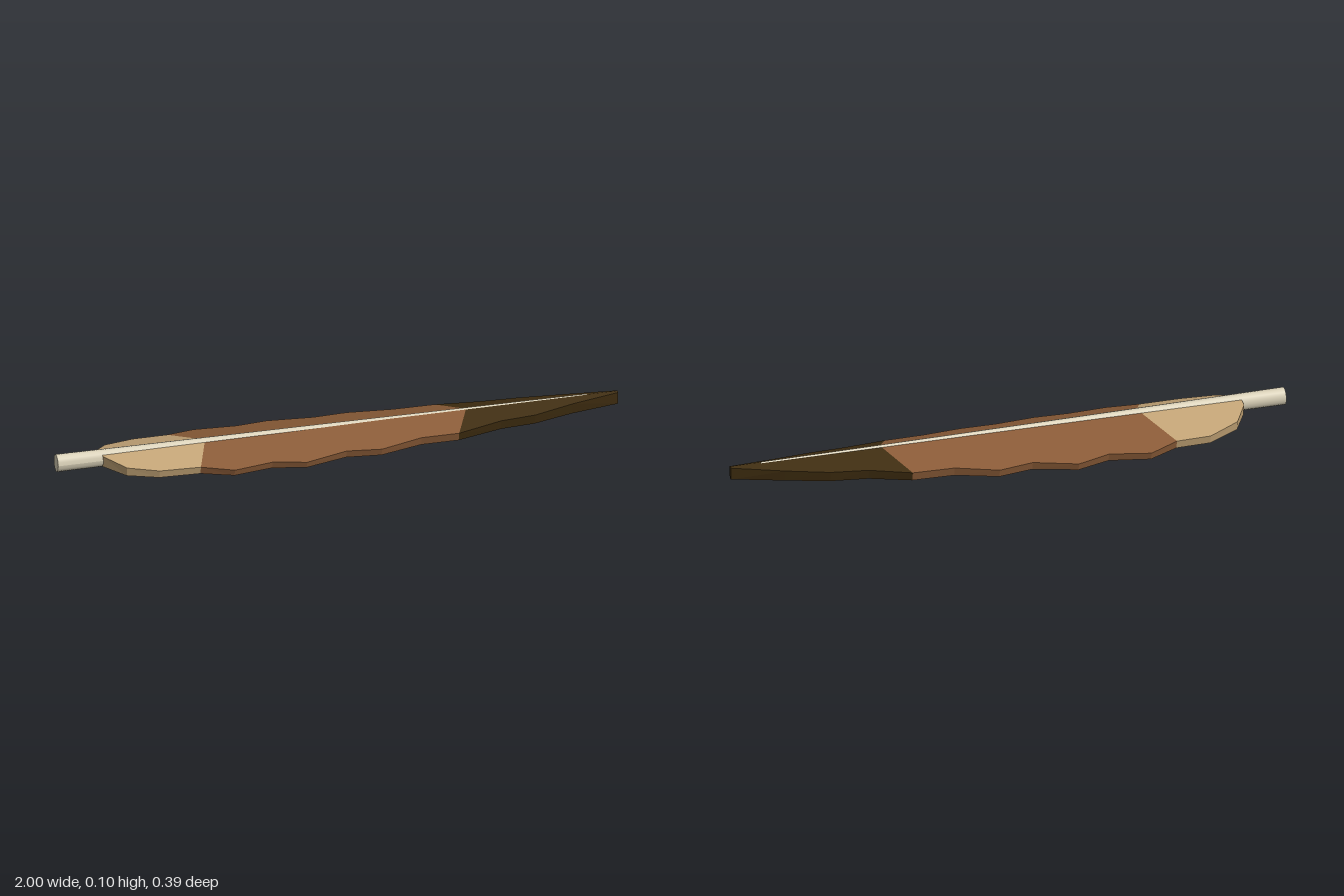
import * as THREE from 'three';

const RIDGE_Z = 0.032;

// Outer edge of each half of the vane: [x, z] from quill end to tip
const BACK = [[-0.84, -0.02], [-0.79, -0.098], [-0.676, -0.15], [-0.553, -0.152], [-0.447, -0.194],
  [-0.302, -0.169], [-0.184, -0.197], [-0.03, -0.158], [0.094, -0.173], [0.243, -0.131],
  [0.393, -0.126], [0.537, -0.083], [0.67, -0.067], [0.82, -0.029], [1, 0.023]];
const FRONT = [[-0.84, 0.055], [-0.773, 0.122], [-0.666, 0.154], [-0.521, 0.159], [-0.409, 0.192],
  [-0.27, 0.175], [-0.152, 0.195], [-0.003, 0.164], [0.12, 0.175], [0.27, 0.143],
  [0.404, 0.143], [0.564, 0.108], [0.687, 0.1], [0.83, 0.068], [1, 0.04]];

// One coloured stretch of a half vane: a wedge-shaped slab falling away from the ridge
function vanePart(outline, side, slope, x0, x1) {
  const n = outline.length - 1;
  const sections = outline.map(([x, z], i) => {
    const d = Math.abs(z - RIDGE_Z);
    const dLow = Math.max(d - 0.007, d * 0.6);
    const rx = x0 + (x1 - x0) * i / n;
    return [
      [rx, 0.09, RIDGE_Z],
      [x, 0.09 - slope * d, z],
      [x, 0.045 - 0.2 * dLow, RIDGE_Z + side * dLow],
      [rx, 0.045, RIDGE_Z],
    ];
  });
  const pos = [];
  const quad = (a, b, c, d) => {
    const q = side > 0 ? [a, b, c, a, c, d] : [a, c, b, a, d, c];
    q.forEach((p) => pos.push(...p));
  };
  for (let i = 0; i < n; i++) {
    const a = sections[i], b = sections[i + 1];
    for (let k = 0; k < 3; k++) quad(a[k], a[k + 1], b[k + 1], b[k]);
  }
  const s = sections[0], e = sections[n];
  quad(s[0], s[3], s[2], s[1]);
  quad(e[0], e[1], e[2], e[3]);
  const g = new THREE.BufferGeometry();
  g.setAttribute('position', new THREE.Float32BufferAttribute(pos, 3));
  g.computeVertexNormals();
  return g;
}

// Shaft along x, narrowing sideways much faster than in height
function quillGeometry() {
  const g = new THREE.CylinderGeometry(1, 1, 1, 16, 1);
  g.rotateZ(-Math.PI / 2);
  const p = g.attributes.position;
  for (let i = 0; i < p.count; i++) {
    const t = p.getX(i) + 0.5;
    const half = THREE.MathUtils.lerp(0.031, 0.025, t);
    const wide = THREE.MathUtils.lerp(0.028, 0.008, t);
    p.setXYZ(i, -1 + 1.89 * t,
      THREE.MathUtils.lerp(0.066, 0.067, t) + p.getY(i) * half,
      THREE.MathUtils.lerp(0.028, 0.03, t) + p.getZ(i) * wide);
  }
  g.computeVertexNormals();
  return g;
}

export function createModel() {
  const material = (name, color) => {
    const m = new THREE.MeshStandardMaterial({ color });
    m.name = name;
    return m;
  };
  const ivory = material('ivory', 0xd8cfb6);
  const stretches = [
    ['Base', 0, 3, -0.84, -0.47, material('tan', 0xc4a577)],
    ['Middle', 3, 10, -0.47, 0.46, material('brown', 0x8b5c38)],
    ['Tip', 10, 14, 0.46, 1, material('darkBrown', 0x3f2d10)],
  ];

  const model = new THREE.Group();
  model.name = 'feather';
  const add = (name, geometry, mat) => {
    const mesh = new THREE.Mesh(geometry, mat);
    mesh.name = name;
    model.add(mesh);
  };

  add('quill', quillGeometry(), ivory);
  for (const [name, from, to, x0, x1, mat] of stretches) {
    add('frontVane' + name, vanePart(FRONT.slice(from, to + 1), 1, 0.33, x0, x1), mat);
    add('backVane' + name, vanePart(BACK.slice(from, to + 1), -1, 0.28, x0, x1), mat);
  }
  return model;
}
